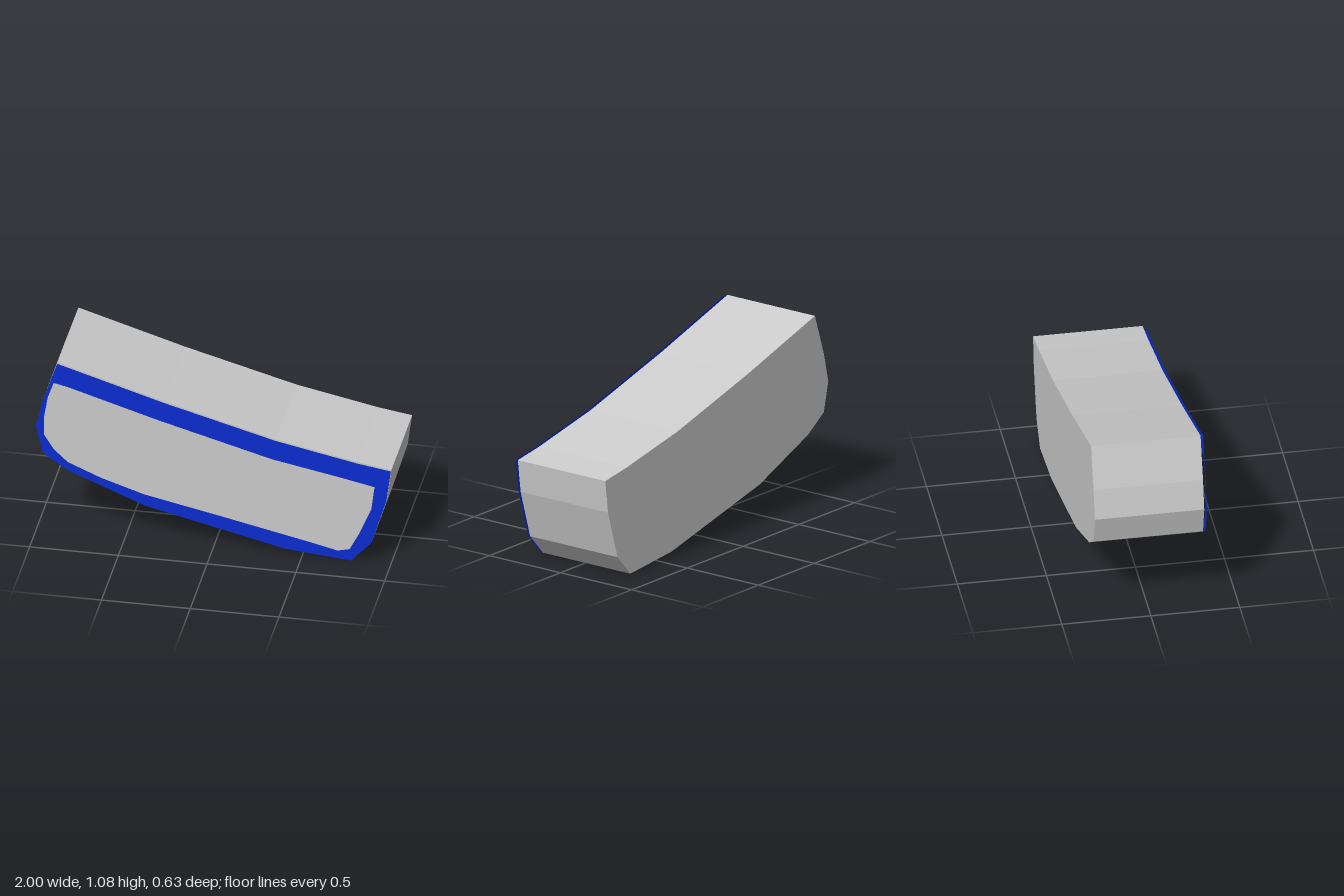
import * as THREE from 'three';

const vectors = (points) => points.map(([x, y]) => new THREE.Vector2(x, y));

// Outer silhouette of the curved block, clockwise from the upper tip
const outline = vectors([
  [-0.88, 1.08], [-0.28, 0.895], [0.35, 0.72], [0.81, 0.625], [1, 0.595],
  [0.975, 0.405], [0.89, 0.125], [0.775, 0], [0.405, 0.035], [-0.385, 0.225],
  [-0.82, 0.405], [-0.96, 0.5], [-1, 0.67], [-0.96, 0.84],
]);

// Opening of the painted border
const opening = vectors([
  [-0.9, 0.955], [-0.82, 0.937], [-0.31, 0.78], [0.33, 0.6], [0.73, 0.522],
  [0.908, 0.484], [0.89, 0.34], [0.82, 0.174], [0.767, 0.072], [0.7, 0.056],
  [0.54, 0.094], [0.035, 0.206], [-0.39, 0.297], [-0.634, 0.377],
  [-0.82, 0.457], [-0.9, 0.532], [-0.955, 0.62], [-0.955, 0.725], [-0.933, 0.858],
]);

export function createModel() {
  const group = new THREE.Group();
  group.name = 'curvedBlock';

  const grey = new THREE.MeshStandardMaterial({ color: 0xcbcbcb });
  grey.name = 'grey';
  const blue = new THREE.MeshStandardMaterial({ color: 0x0c2dd0, side: THREE.DoubleSide });
  blue.name = 'blue';

  // Solid body
  const bodyGeometry = new THREE.ExtrudeGeometry(new THREE.Shape(outline), {
    depth: 0.615, bevelEnabled: false,
  });
  bodyGeometry.translate(0, 0, -0.315);
  const body = new THREE.Mesh(bodyGeometry, grey);
  body.name = 'body';
  group.add(body);

  // Blue border sheet standing just clear of the front face
  const borderShape = new THREE.Shape(outline);
  borderShape.holes.push(new THREE.Path(opening));
  const border = new THREE.Mesh(new THREE.ShapeGeometry(borderShape), blue);
  border.name = 'frontBorder';
  border.position.z = 0.315;
  group.add(border);

  return group;
}
